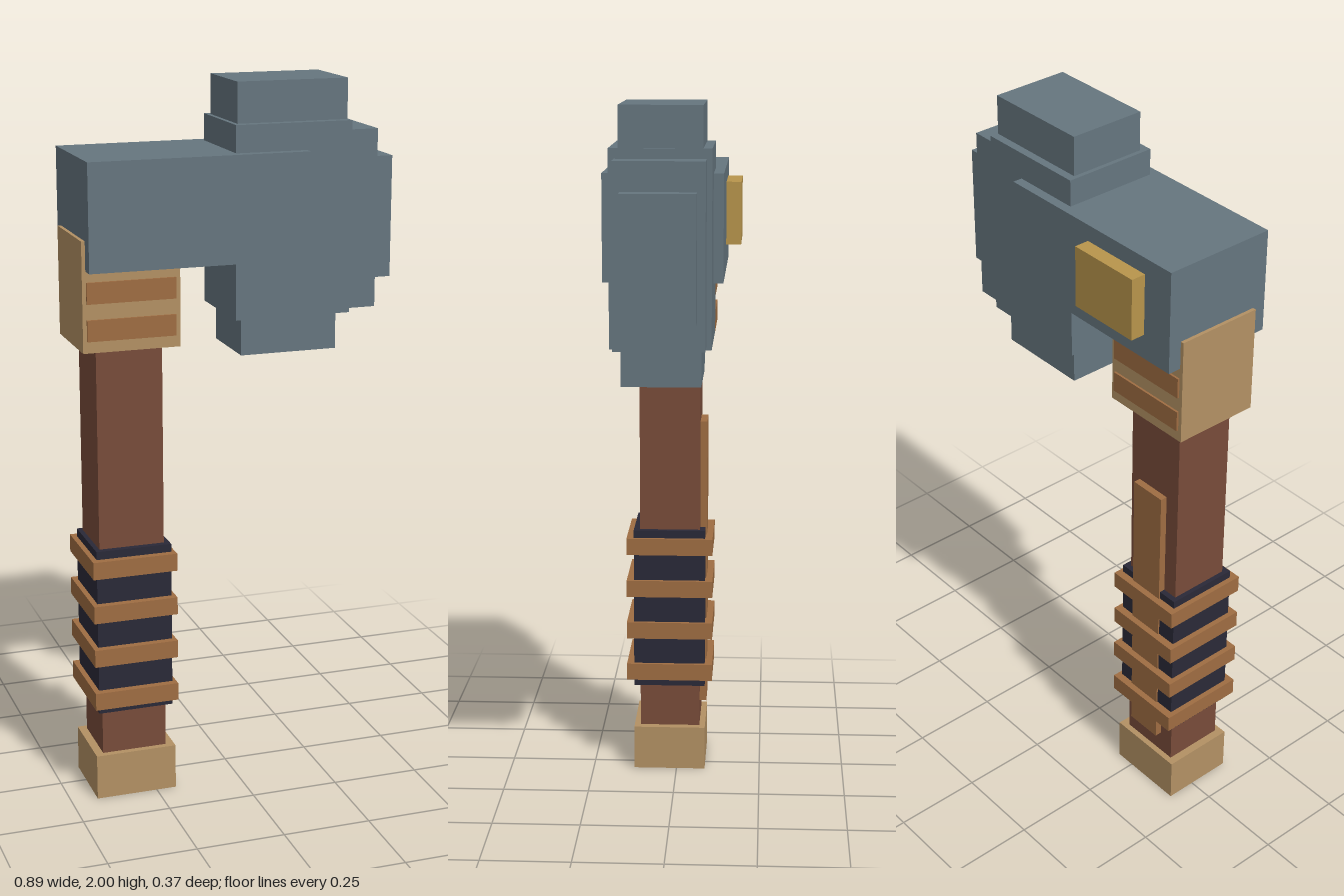
import * as THREE from 'three';

const mat = (name, color) => {
  const m = new THREE.MeshStandardMaterial({ color });
  m.name = name;
  return m;
};

export function createModel() {
  const steel = mat('slate steel', 0x66767f);
  const wood = mat('dark wood', 0x784c3a);
  const cloth = mat('dark grip cloth', 0x2a2938);
  const leather = mat('leather', 0x9f6d42);
  const tan = mat('tan fitting', 0xb39164);
  const gold = mat('gold', 0xb8954c);

  const model = new THREE.Group();
  model.name = 'warHammer';

  // Box given by its extents along each axis
  const box = (name, material, [x0, x1], [y0, y1], [z0, z1], parent = model) => {
    const mesh = new THREE.Mesh(new THREE.BoxGeometry(x1 - x0, y1 - y0, z1 - z0), material);
    mesh.position.set((x0 + x1) / 2, (y0 + y1) / 2, (z0 + z1) / 2);
    mesh.name = name;
    parent.add(mesh);
    return mesh;
  };

  // Handle
  const handle = new THREE.Group();
  handle.name = 'handle';
  model.add(handle);
  box('pommel', tan, [-0.425, -0.193], [0, 0.13], [-0.085, 0.127], handle);
  box('shaft', wood, [-0.402, -0.217], [0.13, 1.32], [-0.068, 0.109], handle);
  box('grip', cloth, [-0.415, -0.201], [0.26, 0.74], [-0.084, 0.127], handle);
  box('backStrap', leather, [-0.357, -0.248], [0.198, 1.06], [-0.088, -0.06], handle);
  for (let i = 0; i < 4; i++) {
    const y = 0.28 + i * 0.129;
    box('gripBand', leather, [-0.43, -0.19], [y, y + 0.05], [-0.106, 0.148], handle);
  }

  // Collar joining the handle to the head, with stripes front and back
  const collar = new THREE.Group();
  collar.name = 'collar';
  model.add(collar);
  box('collarBlock', tan, [-0.445, -0.175], [1.304, 1.605], [-0.105, 0.143], collar);
  for (const y of [1.336, 1.437]) {
    box('collarStripeFront', leather, [-0.434, -0.188], [y, y + 0.058], [0.142, 0.149], collar);
    box('collarStripeBack', leather, [-0.434, -0.188], [y, y + 0.058], [-0.111, -0.104], collar);
  }

  // Head
  const head = new THREE.Group();
  head.name = 'head';
  model.add(head);
  box('headBeam', steel, [-0.435, 0.178], [1.525, 1.816], [-0.143, 0.182], head);
  box('headBlock', steel, [-0.022, 0.307], [1.365, 1.89], [-0.116, 0.154], head);
  box('topCap', steel, [-0.01, 0.303], [1.87, 2], [-0.093, 0.128], head);
  box('bottomCap', steel, [0.003, 0.278], [1.26, 1.38], [-0.088, 0.126], head);
  box('facePlate', steel, [0.29, 0.388], [1.373, 1.863], [-0.102, 0.139], head);
  box('strikingFace', steel, [0.37, 0.441], [1.45, 1.785], [-0.08, 0.118], head);
  box('backEmblemPlate', gold, [-0.34, -0.123], [1.595, 1.77], [-0.185, -0.13], head);

  return model;
}
